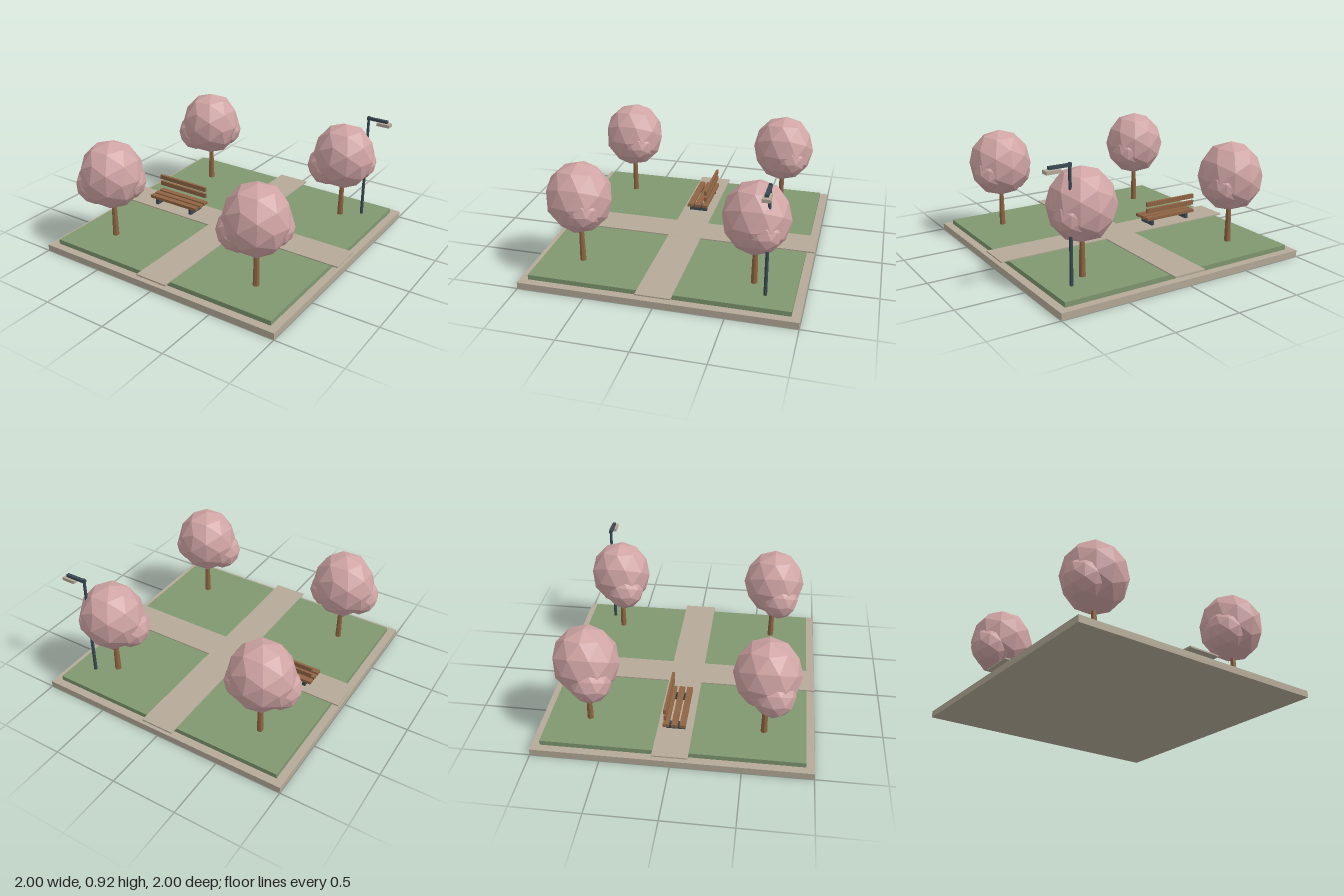
import * as THREE from 'three';

const mat = (name, color, flat = false) => {
  const m = new THREE.MeshStandardMaterial({ color });
  m.name = name;
  m.flatShading = flat;
  return m;
};

export function createModel() {
  const stone = mat('stone', 0xb5aa98, true);
  const grass = mat('grass', 0x7f9870, true);
  const blossom = mat('blossom', 0xd0a4a4, true);
  const wood = mat('wood', 0x8f6544, true);
  const metal = mat('dark metal', 0x3a4a54, true);

  const root = new THREE.Group();
  root.name = 'parkSquare';

  const add = (parent, name, geometry, material, x, y, z) => {
    const mesh = new THREE.Mesh(geometry, material);
    mesh.name = name;
    mesh.position.set(x, y, z);
    parent.add(mesh);
    return mesh;
  };
  const box = (parent, name, material, w, h, d, x, y, z) =>
    add(parent, name, new THREE.BoxGeometry(w, h, d), material, x, y, z);
  const group = (name, x, y, z) => {
    const g = new THREE.Group();
    g.name = name;
    g.position.set(x, y, z);
    root.add(g);
    return g;
  };

  // Ground: stone slab, lawn and two crossing paths that reach past the lawn
  box(root, 'slab', stone, 2, 0.05, 2, 0, 0.025, 0);
  box(root, 'lawn', grass, 1.88, 0.036, 1.88, 0, 0.068, 0);
  box(root, 'pathAcross', stone, 2, 0.01, 0.254, 0, 0.089, 0);
  box(root, 'pathAlong', stone, 0.254, 0.011, 2, 0, 0.089, 0);

  // Trees: tapered trunk, a tall crown and two side clumps
  const trunk = new THREE.CylinderGeometry(0.017, 0.024, 0.32, 8);
  const clumps = [
    ['crown', 0.241, 1.09, 0, 0, 0],
    ['sideClump', 0.152, 1.04, -0.118, -0.09, 0.05],
    ['backClump', 0.135, 1.04, 0.105, -0.05, -0.06],
  ];
  for (const sx of [-1, 1]) for (const sz of [-1, 1]) {
    const tree = group('tree', sx * 0.636, 0, sz * 0.636);
    add(tree, 'trunk', trunk, wood, 0, 0.245, 0);
    for (const [name, r, tall, x, y, z] of clumps) {
      const ball = add(tree, name, new THREE.IcosahedronGeometry(r, 1), blossom, x, 0.596 + y, z);
      ball.scale.y = tall;
    }
  }

  // Bench: three seat slats, two back slats, two block legs
  const bench = group('bench', -0.517, 0, 0);
  for (const z of [-0.061, 0, 0.059]) box(bench, 'seatSlat', wood, 0.457, 0.024, 0.044, 0, 0.154, z);
  for (const y of [0.222, 0.276]) box(bench, 'backSlat', wood, 0.457, 0.036, 0.02, 0, y, -0.067);
  for (const x of [-0.168, 0.168]) box(bench, 'leg', metal, 0.025, 0.054, 0.142, x, 0.119, 0.003);

  // Street lamp: pole, arm and flat head
  const lamp = group('lamp', 0.777, 0, -0.737);
  add(lamp, 'pole', new THREE.CylinderGeometry(0.011, 0.013, 0.84, 8), metal, 0, 0.5, 0);
  box(lamp, 'arm', metal, 0.165, 0.02, 0.026, 0.072, 0.904, 0);
  box(lamp, 'lampHead', stone, 0.104, 0.024, 0.056, 0.128, 0.879, 0);

  return root;
}
